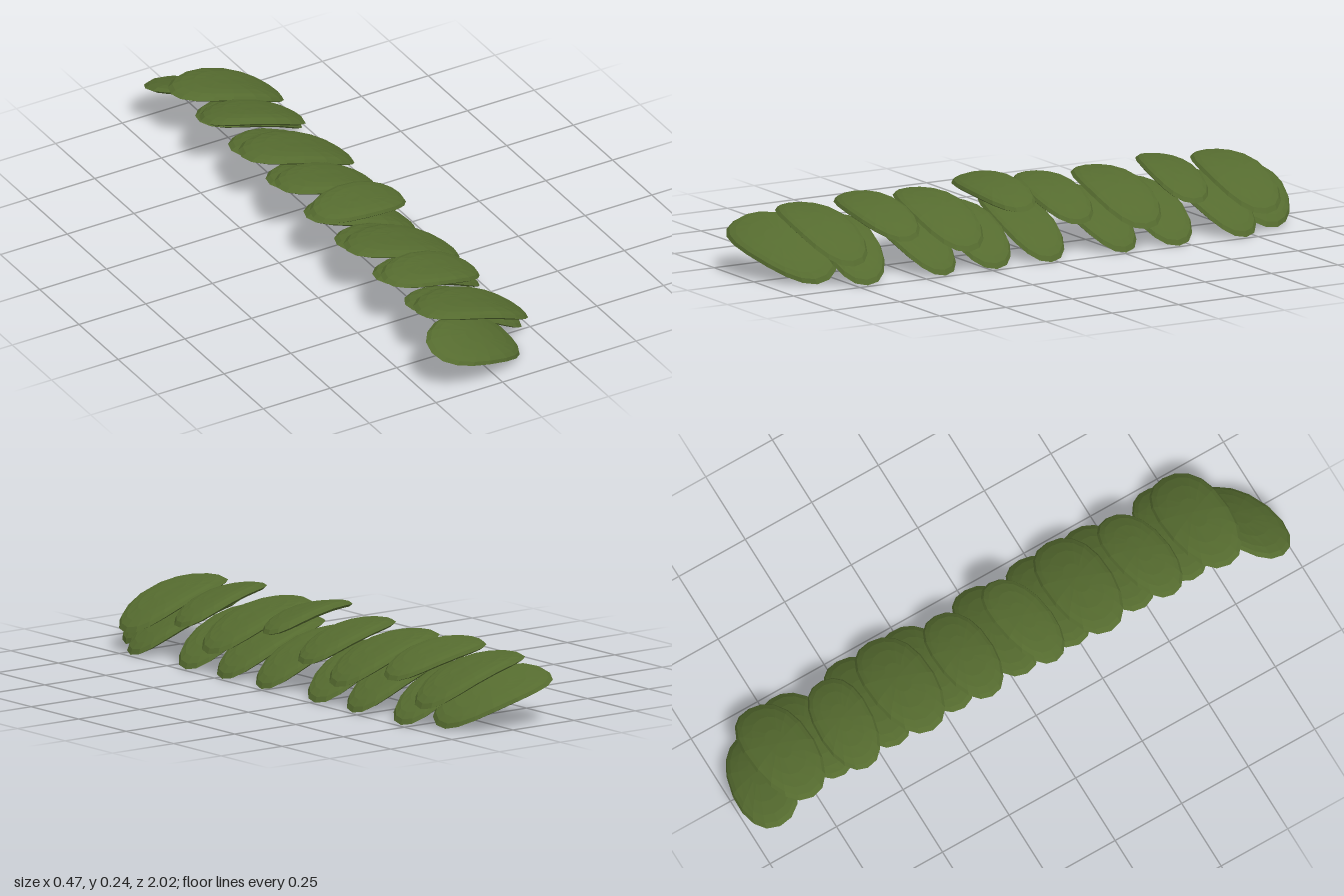
import * as THREE from 'three';

const SIDES = 18;

// One scale: a thin oval shell made of rings around its outline,
// arched along its length (x), with a bevelled rim and a hollow underside.
function scaleGeometry(a, b) {
  // [radius fraction, height] from the top centre to the bottom centre
  const rings = [[0.3, 0.019], [0.6, 0.018], [0.82, 0.015], [0.94, 0.010], [1, 0], [0.92, -0.008], [0.6, -0.010], [0.3, -0.010]];
  const pos = [], index = [];
  const put = (x, y, z) => pos.push(x, y - 0.78 * x * x, z);
  const oval = (v) => Math.sign(v) * Math.pow(Math.abs(v), 0.88);

  put(0, 0.019, 0);
  for (const [r, h] of rings) {
    for (let i = 0; i < SIDES; i++) {
      const t = (i / SIDES) * Math.PI * 2;
      put(a * r * oval(Math.cos(t)), h, b * r * oval(Math.sin(t)));
    }
  }
  put(0, -0.010, 0);

  const last = 1 + rings.length * SIDES;
  const id = (k, i) => 1 + k * SIDES + (i % SIDES);
  for (let i = 0; i < SIDES; i++) {
    index.push(0, id(0, i + 1), id(0, i));
    for (let k = 0; k < rings.length - 1; k++) {
      index.push(id(k, i), id(k, i + 1), id(k + 1, i));
      index.push(id(k, i + 1), id(k + 1, i + 1), id(k + 1, i));
    }
    index.push(last, id(rings.length - 1, i), id(rings.length - 1, i + 1));
  }
  const g = new THREE.BufferGeometry();
  g.setAttribute('position', new THREE.Float32BufferAttribute(pos, 3));
  g.setIndex(index);
  const flat = g.toNonIndexed(); // faceted look
  flat.computeVertexNormals();
  return flat;
}

export function createModel() {
  const group = new THREE.Group();
  group.name = 'scaleRow';
  const olive = new THREE.MeshStandardMaterial({ color: 0x556b2f });
  olive.name = 'olive green';

  // a, b: half length and half width; x, y, z: centre; then pitch, roll, yaw
  const add = (name, [a, b, x, y, z, pitch, roll, yaw]) => {
    const mesh = new THREE.Mesh(scaleGeometry(a, b), olive);
    mesh.name = name;
    mesh.position.set(x, y, z);
    mesh.rotation.set(roll, yaw, -pitch, 'YXZ');
    group.add(mesh);
  };

  // Lower layer, with a splayed scale at each end
  [
    [0.212, 0.115, -0.027, 0.114, 0.882, 0.36, 0.40, 0.20],
    [0.213, 0.102, 0.052, 0.112, 0.68, 0.37, 0, -0.17],
    [0.213, 0.102, 0.052, 0.112, 0.44, 0.37, 0, 0.12],
    [0.213, 0.104, 0.052, 0.112, 0.22, 0.37, 0, -0.03],
    [0.213, 0.102, 0.052, 0.112, 0.02, 0.37, 0, 0],
    [0.213, 0.102, 0.052, 0.112, -0.24, 0.37, 0, 0.12],
    [0.213, 0.104, 0.052, 0.112, -0.46, 0.37, 0, 0],
    [0.213, 0.102, 0.052, 0.112, -0.69, 0.37, 0, 0.13],
    [0.210, 0.115, 0.000, 0.114, -0.885, 0.36, -0.28, -0.18],
  ].forEach((s, i) => add(`lowerScale${i + 1}`, s));

  // Upper layer, lying over the gaps
  [
    [0.214, 0.110, 0.030, 0.166, 0.76, 0.31, 0, 0.03],
    [0.189, 0.094, 0.006, 0.188, 0.54, 0.24, 0.12, 0.08],
    [0.214, 0.110, 0.030, 0.166, 0.32, 0.31, 0, 0],
    [0.182, 0.090, -0.006, 0.214, 0.095, 0.14, 0.15, 0.10],
    [0.189, 0.096, 0.006, 0.177, -0.125, 0.27, 0.03, 0],
    [0.214, 0.110, 0.030, 0.166, -0.35, 0.31, 0, 0],
    [0.187, 0.094, -0.004, 0.188, -0.58, 0.24, -0.1, -0.08],
    [0.214, 0.110, 0.030, 0.166, -0.80, 0.31, 0, 0],
  ].forEach((s, i) => add(`upperScale${i + 1}`, s));

  return group;
}
